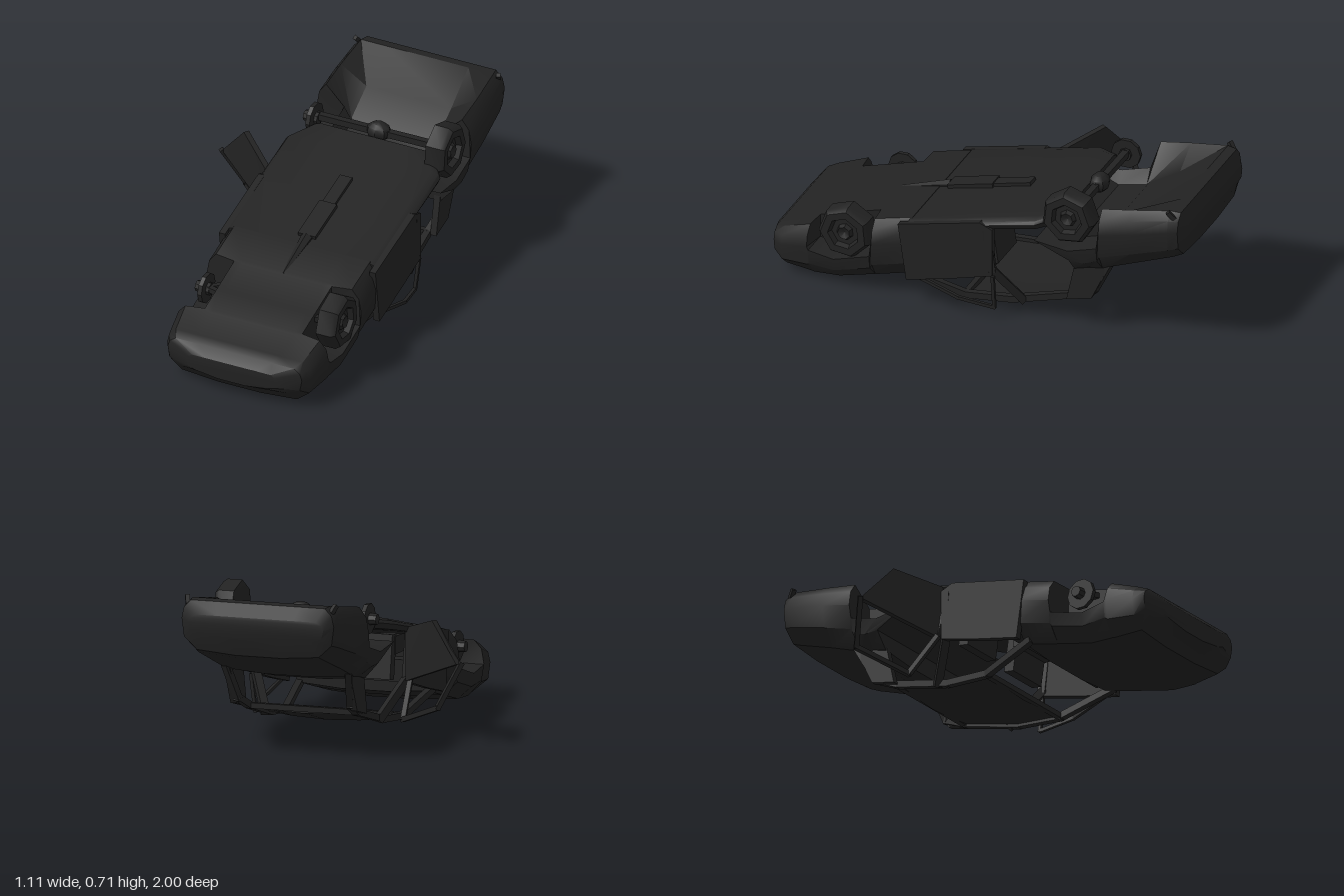
import * as THREE from 'three';
import { toCreasedNormals } from 'three/addons/utils/BufferGeometryUtils.js';

const charcoal = new THREE.MeshStandardMaterial({ color: 0x222222, side: THREE.DoubleSide });
charcoal.name = 'charcoal';
const CX = 0.155; // centre line of the overturned body
const PITCH = 0.235;

function add(parent, name, geo, x = 0, y = 0, z = 0) {
  const m = new THREE.Mesh(toCreasedNormals(geo, 0.6), charcoal);
  m.name = name;
  m.position.set(x, y, z);
  parent.add(m);
  return m;
}

// Surface from rows of points; optionally wraps each row and closes the ends
function loft(rows, closed) {
  const n = rows[0].length, idx = [];
  for (let i = 0; i < rows.length - 1; i++)
    for (let j = 0; j < (closed ? n : n - 1); j++) {
      const a = i * n + j, b = i * n + (j + 1) % n;
      idx.push(a, a + n, b, b, a + n, b + n);
    }
  if (closed) [0, (rows.length - 1) * n].forEach((s, end) => {
    for (let j = 0; j < n / 2 - 1; j++) {
      const a = s + j, b = s + j + 1, c = s + n - 2 - j, d = s + n - 1 - j;
      idx.push(...(end ? [a, c, b, a, d, c] : [a, b, c, a, c, d]));
    }
  });
  const g = new THREE.BufferGeometry();
  g.setAttribute('position', new THREE.Float32BufferAttribute(rows.flat(2), 3));
  g.setIndex(idx);
  return g;
}

// Body cross-section: f = underside, b = bonnet side, arch = wheel well roof
function section({ z, f, b, hw = 0.38, arch, dip = 0, zb = z }) {
  const h = f - b;
  const upper = arch === undefined
    ? [[hw * 0.55, f - dip, z], [hw * 0.88, f, z], [hw * 0.97, f - h * 0.14, z], [hw, f - h * 0.35, z],
      [hw * 0.97, b + h * 0.3, zb]]
    : [[0.2, f - dip, z], [0.24, f - dip * 0.5, z], [0.24, arch, z], [hw, arch, z],
      [hw * 0.97, b + (arch - b) * 0.55, zb]];
  const half = [...upper, [hw * 0.8, b + 0.015, zb], [hw * 0.3, b, zb]];
  const right = half.map(([x, y, d]) => [CX + x, y, d]);
  const left = half.map(([x, y, d]) => [CX - x, y, d]).reverse();
  return [...right, ...left];
}

// Square bar between two points
function bar(parent, name, a, b, w = 0.025) {
  const A = new THREE.Vector3(...a), B = new THREE.Vector3(...b);
  const m = add(parent, name, new THREE.BoxGeometry(w, w, A.distanceTo(B) + w * 0.6));
  m.position.copy(A).lerp(B, 0.5);
  m.lookAt(B);
}

// Flat side panel drawn in (z, y), with thickness along x
function sidePanel(parent, name, x, pts, t) {
  const s = new THREE.Shape(pts.map(([z, y]) => new THREE.Vector2(-z, y)));
  const g = new THREE.ExtrudeGeometry(s, { depth: t, bevelEnabled: false });
  g.translate(0, 0, -t / 2);
  g.rotateY(Math.PI / 2);
  add(parent, name, g, x);
}

export function createModel() {
  const car = new THREE.Group();
  car.name = 'overturnedCar';

  // Nose with front wheel wells
  add(car, 'noseBody', loft([
    { z: 1.0, f: 0.165, b: 0.075, hw: 0.22 },
    { z: 0.965, f: 0.205, b: 0.055, hw: 0.33 },
    { z: 0.92, f: 0.22, b: 0.006, hw: 0.355 },
    { z: 0.79, f: 0.265, b: 0, hw: 0.375 },
    { z: 0.78, f: 0.27, b: 0, arch: 0.16 },
    { z: 0.66, f: 0.305, b: 0.006, arch: 0.14 },
    { z: 0.49, f: 0.355, b: 0.05, arch: 0.19 },
    { z: 0.48, f: 0.36, b: 0.052 },
    { z: 0.3, f: 0.405, b: 0.1 },
  ].map(section), true));

  // Underside of the cabin
  add(car, 'floorPan', loft([
    { z: 0.31, f: 0.4, b: 0.34 },
    { z: 0, f: 0.47, b: 0.41 },
    { z: -0.3, f: 0.54, b: 0.47 },
    { z: -0.41, f: 0.565, b: 0.49, hw: 0.3 },
  ].map(section), true));

  // Tail with rear wheel wells and hollow underside
  add(car, 'tailBody', loft([
    { z: -0.3, f: 0.53, b: 0.28, zb: -0.46, arch: 0.44 },
    { z: -0.46, f: 0.57, b: 0.3, zb: -0.53, arch: 0.42, dip: 0.11 },
    { z: -0.595, f: 0.62, b: 0.31, arch: 0.46, dip: 0.13 },
    { z: -0.605, f: 0.64, b: 0.315, dip: 0.14 },
    { z: -0.75, f: 0.665, b: 0.37, dip: 0.08 },
    { z: -0.93, f: 0.695, b: 0.435, hw: 0.37 },
    { z: -0.975, f: 0.69, b: 0.455, hw: 0.36 },
    { z: -1.0, f: 0.63, b: 0.53, hw: 0.32 },
  ].map(section), true));

  // Roof skin; the screens before and behind it are empty frames
  const roofLine = [[0.33, 0.1, 0.31], [0.07, 0.022, 0.275], [-0.15, 0.04, 0.265],
    [-0.43, 0.115, 0.255], [-0.54, 0.165, 0.265], [-0.62, 0.32, 0.29]];
  add(car, 'roofSkin', loft(roofLine.slice(1, 4).map(([z, y, w]) =>
    [-1, -0.6, 0, 0.6, 1].map(u => [CX + u * w, y + 0.02 * u * u, z])), false));
  for (const i of [1, 3]) {
    const [z, y, w] = roofLine[i];
    bar(car, 'roofHeader', [CX - w, y + 0.02, z], [CX + w, y + 0.02, z], 0.025);
  }

  for (const s of [-1, 1]) {
    const X = d => CX + s * d;
    // Roof rails and pillars
    for (let i = 0; i < roofLine.length - 1; i++) {
      const [a, b] = [roofLine[i], roofLine[i + 1]];
      bar(car, 'roofRail', [X(a[2]), a[1] + 0.02, a[0]], [X(b[2]), b[1] + 0.02, b[0]], 0.03);
    }
    bar(car, 'centrePillar', [X(0.365), 0.43, -0.07], [X(0.36), 0.24, -0.09], 0.035);
    bar(car, 'centrePillar', [X(0.36), 0.24, -0.09], [X(0.27), 0.07, -0.2], 0.035);
    sidePanel(car, 'rearQuarter', X(0.285), [[-0.42, 0.13], [-0.54, 0.16], [-0.62, 0.33], [-0.47, 0.36]], 0.03);
    // Front door below the window line
    sidePanel(car, 'frontDoor', X(0.37), [[0.35, 0.385], [-0.04, 0.475], [-0.1, 0.45], [-0.1, 0.22], [0.1, 0.165], [0.31, 0.115]], 0.03);
    // Front seats hanging from the floor
    add(car, 'seatCushion', new THREE.BoxGeometry(0.22, 0.08, 0.22), X(0.17), 0.37, 0.08);
    const back = add(car, 'seatBack', new THREE.BoxGeometry(0.21, 0.2, 0.05), X(0.17), 0.32, -0.045);
    back.rotation.x = 0.15;
    // Bumper corners
    bar(car, 'bumperCorner', [X(0.34), 0.67, -0.95], [X(0.35), 0.695, -0.93], 0.02);
    // Suspension arms
    bar(car, 'frontArm', [X(0.2), 0.28, 0.66], [X(0.31), 0.27, 0.62], 0.025);
    bar(car, 'frontArm', [X(0.2), 0.28, 0.56], [X(0.31), 0.27, 0.62], 0.025);
  }

  // Dashboard
  add(car, 'dashboard', new THREE.BoxGeometry(0.66, 0.1, 0.08), CX, 0.21, 0.265);

  // Window frame of the slightly sprung front door
  bar(car, 'sprungFrame', [0.525, 0.13, 0.24], [0.54, 0.08, 0.06], 0.015);
  bar(car, 'sprungFrame', [0.54, 0.08, 0.06], [0.51, 0.05, -0.1], 0.015);
  bar(car, 'sprungFrame', [0.51, 0.05, -0.1], [0.53, 0.21, -0.1], 0.015);

  // Wheels remaining on one side, bare hubs on the other
  const tyre = [[0, 0.03], [0.03, 0.045], [0.04, 0.025], [0.065, 0.025], [0.075, 0.05], [0.11, 0.05],
    [0.125, 0.03], [0.125, -0.04], [0.08, -0.05], [0, -0.05]].map(p => new THREE.Vector2(...p));
  for (const [y, z, turn] of [[0.275, 0.615, 0.1], [0.57, -0.45, 0.35]]) {
    const wheel = add(car, 'wheel', new THREE.LatheGeometry(tyre, 7, turn), 0.48, y, z);
    wheel.rotation.z = -Math.PI / 2;
    const disc = add(car, 'brakeDisc', new THREE.CylinderGeometry(0.07, 0.07, 0.02, 10), -0.16, y - 0.01, z);
    disc.rotation.z = Math.PI / 2;
    const hub = add(car, 'hub', new THREE.CylinderGeometry(0.025, 0.03, 0.07, 8), -0.17, y - 0.01, z);
    hub.rotation.z = Math.PI / 2;
  }

  // Rear axle and differential
  bar(car, 'rearAxle', [-0.16, 0.57, -0.455], [0.46, 0.575, -0.455], 0.03);
  const diff = add(car, 'differential', new THREE.SphereGeometry(0.05, 8, 6), CX, 0.575, -0.455);
  diff.scale.set(1.2, 0.9, 0.9);

  // Exhaust and transmission along the belly
  const belly = new THREE.Group();
  belly.name = 'belly';
  belly.position.set(CX, 0.47, 0);
  belly.rotation.x = PITCH;
  car.add(belly);
  add(belly, 'propShaft', new THREE.BoxGeometry(0.06, 0.03, 0.18), 0, 0, -0.05);
  add(belly, 'gearbox', new THREE.BoxGeometry(0.085, 0.04, 0.22), 0, 0, 0.15);
  const cone = add(belly, 'exhaustPipe', new THREE.CylinderGeometry(0.008, 0.03, 0.24, 6), 0, -0.002, 0.38);
  cone.rotation.x = Math.PI / 2;

  // Front bumper strip
  bar(car, 'bumperStrip', [CX - 0.2, 0.165, 0.985], [CX + 0.2, 0.165, 0.985], 0.015);

  // Rear door swung wide open: solid panel and empty window frame
  const door = new THREE.Group();
  door.name = 'openRearDoor';
  car.add(door);
  const hingeTop = [-0.22, 0.47, -0.09], hingeMid = [-0.222, 0.35, -0.09], innerBelt = [-0.23, 0.235, -0.12];
  const outerTop = [-0.4, 0.535, -0.235], outerMid = [-0.485, 0.42, -0.28], outerBelt = [-0.545, 0.36, -0.31];
  const frameOut = [-0.465, 0.17, -0.39], frameIn = [-0.252, 0.085, -0.26];
  const panel = [hingeTop, outerTop, outerMid, outerBelt, innerBelt, hingeMid];
  add(door, 'doorPanel', loft([panel, panel.map(([x, y, z]) => [x + 0.014, y, z - 0.022])], true));
  bar(door, 'doorFrame', outerBelt, frameOut, 0.022);
  bar(door, 'doorFrame', frameOut, frameIn, 0.022);
  bar(door, 'doorFrame', frameIn, innerBelt, 0.022);
  return car;
}
